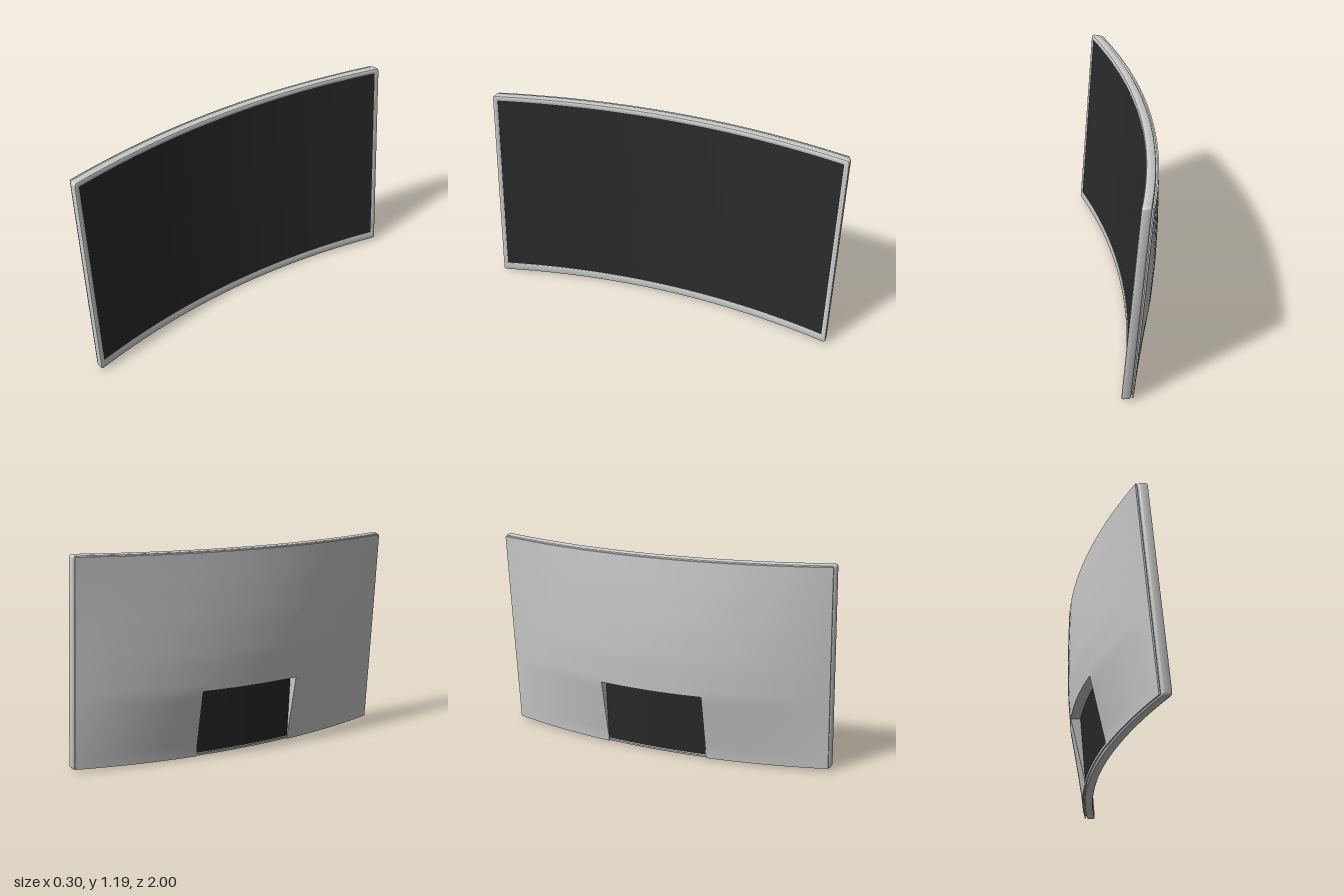
import * as THREE from 'three';
import { toCreasedNormals } from 'three/addons/utils/BufferGeometryUtils.js';

// Curved display panel facing +x, width along z, leaning back.
const BOTTOM = 0.003, TOP = 1.179, TILT = 0.082, FRONT = 0.017;
const NOTCH_Z = 0.31, NOTCH_V = 0.41;

// Point on the curved panel: u is depth from the front face, v height
const bent = (u, v, z) => [FRONT + u + 0.135 * z * z, v, z];
const steps = (a, b, n) => Array.from({ length: n + 1 }, (_, i) => a + (b - a) * i / n);

function makeMesh(name, quads, color = 0xcccccc) {
  const pos = [];
  for (const [a, b, c, d] of quads) pos.push(...a, ...b, ...c, ...a, ...c, ...d);
  const geo = new THREE.BufferGeometry();
  geo.setAttribute('position', new THREE.Float32BufferAttribute(pos, 3));
  const mesh = new THREE.Mesh(toCreasedNormals(geo, 0.6), new THREE.MeshStandardMaterial({ color }));
  mesh.name = name;
  return mesh;
}

// Rounded rectangle round the panel at a given inset and depth
function outline([inset, u, extraBottom = 0]) {
  const r = 0.016 - Math.min(inset * 0.5, 0.012), pts = [];
  const zc = 1 - inset - r, top = TOP - inset - r, low = BOTTOM + inset + extraBottom + r;
  const corner = (k, z, v) => steps(k, k + 1, 4).forEach(t => {
    const a = t * Math.PI / 2;
    pts.push(bent(u, v + r * Math.cos(a), z + r * Math.sin(a)));
  });
  const edge = (from, to, v) => steps(from, to, 32).slice(1, -1).forEach(z => pts.push(bent(u, v, z)));
  corner(0, zc, top);
  corner(1, zc, low);
  edge(zc, -zc, low - r);
  corner(2, -zc, low);
  corner(3, -zc, top);
  edge(-zc, zc, top + r);
  return pts;
}

// Surface running through successive outlines, back to front
function ring(name, profile) {
  const loops = profile.map(outline), quads = [];
  for (let j = 0; j + 1 < loops.length; j++) {
    const a = loops[j], b = loops[j + 1];
    a.forEach((p, i) => {
      const k = (i + 1) % a.length;
      quads.push([p, a[k], b[k], b[i]]);
    });
  }
  return makeMesh(name, quads);
}

// Curved sheet facing forward or backward
function sheet(name, u, halfWidth, v0, v1, forward, color) {
  const zs = steps(-halfWidth, halfWidth, 32), quads = [];
  for (let i = 0; i < 32; i++) {
    const q = [bent(u, v0, zs[i]), bent(u, v1, zs[i]), bent(u, v1, zs[i + 1]), bent(u, v0, zs[i + 1])];
    quads.push(forward ? q : q.reverse());
  }
  return makeMesh(name, quads, color);
}

// Bulge of the rear cover: straight taper below, soft curve above
function bulge(v, z) {
  const knots = [[0.04, 0], [NOTCH_V, 0.057], [0.6, 0.057], [0.8, 0.044], [1.0, 0.023], [1.18, 0]];
  if (v <= knots[0][0]) return 0;
  let k = 0;
  while (k < knots.length - 2 && v > knots[k + 1][0]) k++;
  const t = (v - knots[k][0]) / (knots[k + 1][0] - knots[k][0]);
  return THREE.MathUtils.lerp(knots[k][1], knots[k + 1][1], t) * (1 - Math.abs(z) ** 2.2);
}

// Rear cover: grid with the notch left out, and walls along every open edge
function rearCover() {
  const zs = [...steps(-0.99, -NOTCH_Z, 14), ...steps(-NOTCH_Z, NOTCH_Z, 10).slice(1), ...steps(NOTCH_Z, 0.99, 14).slice(1)];
  const vs = [...steps(0.01, NOTCH_V, 10), ...steps(NOTCH_V, 1.172, 18).slice(1)];
  const nz = zs.length - 1, nv = vs.length - 1, quads = [];
  const solid = (i, j) => i >= 0 && j >= 0 && i < nz && j < nv && !(i >= 14 && i < 24 && j < 10);
  const outer = (i, j) => bent(-0.064 - bulge(vs[j], zs[i]), vs[j], zs[i]);
  const inner = (i, j) => bent(-0.056, vs[j], zs[i]);
  const wall = (a, b) => quads.push([outer(...b), outer(...a), inner(...a), inner(...b)]);
  for (let i = 0; i < nz; i++) for (let j = 0; j < nv; j++) {
    if (!solid(i, j)) continue;
    const c = [[i, j], [i + 1, j], [i + 1, j + 1], [i, j + 1]];
    quads.push(c.map(p => outer(...p)));
    if (!solid(i, j - 1)) wall(c[0], c[1]);
    if (!solid(i + 1, j)) wall(c[1], c[2]);
    if (!solid(i, j + 1)) wall(c[2], c[3]);
    if (!solid(i - 1, j)) wall(c[3], c[0]);
  }
  return makeMesh('rearCover', quads);
}

export function createModel() {
  const model = new THREE.Group();
  model.name = 'curvedDisplay';
  const panel = new THREE.Group();
  panel.name = 'tiltedPanel';
  panel.rotation.z = TILT;
  model.add(panel);

  // Front bezel with rounded rim and a deeper lower border
  panel.add(ring('bezel', [
    [0.02, -0.05], [0.01, -0.05], [0.003, -0.047], [0, -0.041], [0, -0.01], [0.003, -0.003], [0.009, 0],
    [0.022, 0, 0.022], [0.027, -0.002, 0.023], [0.027, -0.008, 0.023]]));
  // Recessed core between bezel and cover
  panel.add(ring('core', [[0.018, -0.058], [0.018, -0.049]]));
  panel.add(sheet('coreBack', -0.058, 0.981, BOTTOM + 0.018, TOP - 0.018, false));
  panel.add(sheet('screen', -0.004, 0.974, 0.05, TOP - 0.026, true, 0x2a2a2a));
  // Dark plate inside the notch of the rear cover
  panel.add(sheet('notchPlate', -0.06, NOTCH_Z, 0.03, NOTCH_V + 0.01, false, 0x2a2a2a));
  panel.add(rearCover());
  return model;
}
